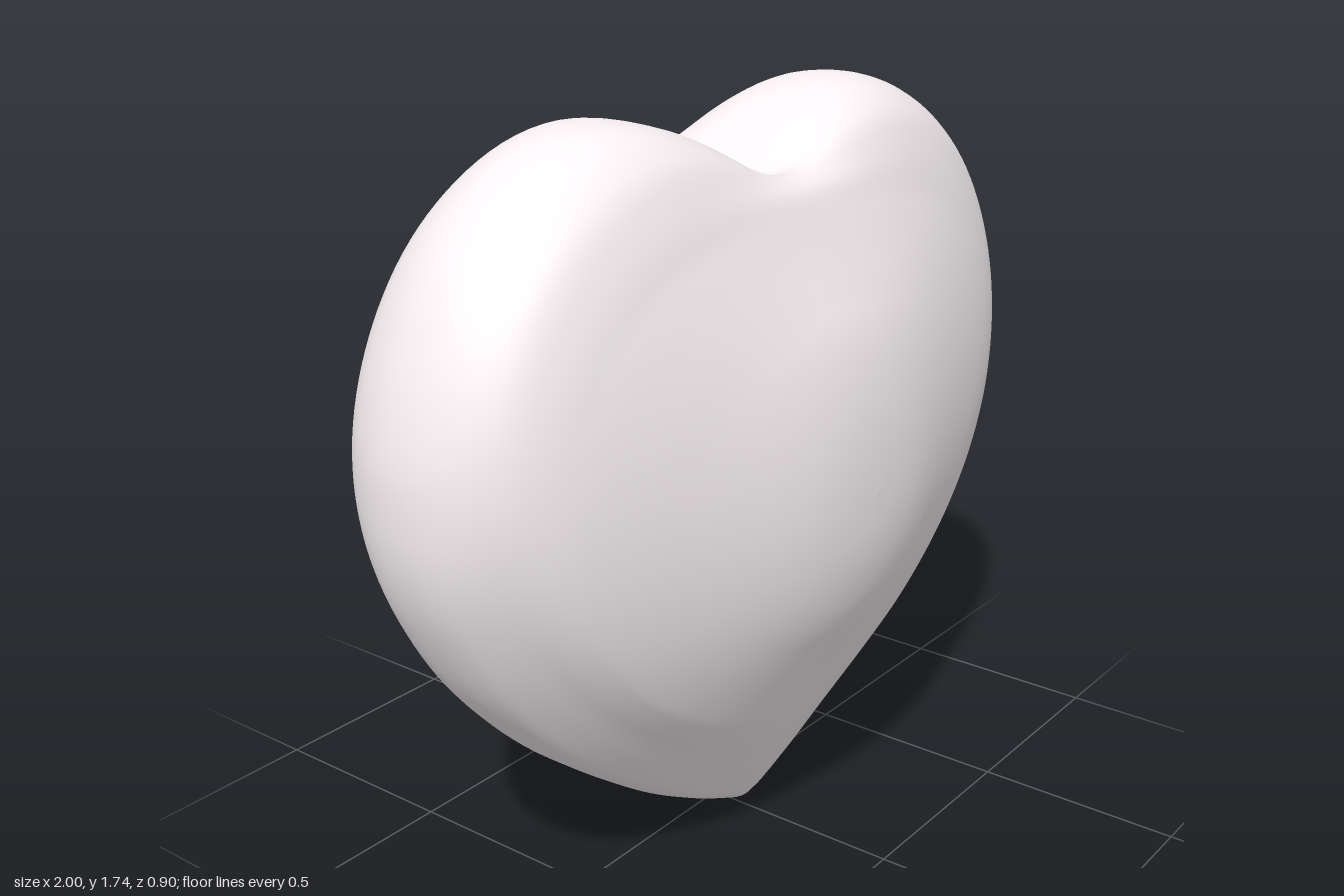
import * as THREE from 'three';

// Right half of the heart outline, from the notch down to the tip
const OUTLINE = [
  [0, 1.55], [0.07, 1.61], [0.16, 1.665], [0.27, 1.712], [0.41, 1.738], [0.56, 1.717],
  [0.72, 1.64], [0.85, 1.52], [0.94, 1.36], [0.99, 1.2], [1, 1.08], [0.985, 0.94],
  [0.93, 0.79], [0.815, 0.6], [0.63, 0.4], [0.37, 0.2], [0.18, 0.085], [0, 0],
];

// Cross-sections from the rim to the crown: depth, half width, roundness, bottom, top
const SECTIONS = [
  [0, 1, 0, 0, 1.738],
  [0.05, 0.996, 0.005, 0.003, 1.735],
  [0.1, 0.982, 0.03, 0.033, 1.725],
  [0.15, 0.957, 0.07, 0.11, 1.702],
  [0.2, 0.917, 0.14, 0.205, 1.66],
  [0.24, 0.867, 0.24, 0.285, 1.59],
  [0.28, 0.79, 0.38, 0.368, 1.51],
  [0.32, 0.67, 0.56, 0.45, 1.43],
  [0.36, 0.52, 0.76, 0.53, 1.352],
  [0.39, 0.405, 0.9, 0.59, 1.29],
  [0.415, 0.305, 0.98, 0.655, 1.215],
  [0.435, 0.205, 1, 0.735, 1.12],
  [0.446, 0.105, 1, 0.82, 1.02],
  [0.45, 0, 1, 0.92, 0.92],
];

const smoothCurve = (points) => new THREE.CatmullRomCurve3(points, false, 'catmullrom', 0.5);

// Closed outline, clockwise as seen from the front
function heartOutline(steps) {
  const half = smoothCurve(OUTLINE.map(([x, y]) => new THREE.Vector3(x, y, 0))).getSpacedPoints(steps);
  const mirrored = half.slice(1, -1).reverse().map((p) => new THREE.Vector3(-p.x, p.y, 0));
  return [...half, ...mirrored];
}

// Soften the notch and tip with a weighted average of neighbouring points
function soften(points, sigma) {
  const n = points.length;
  const reach = Math.ceil(sigma * 2.5);
  return points.map((_, i) => {
    const sum = new THREE.Vector3();
    let total = 0;
    for (let k = -reach; k <= reach; k++) {
      const weight = Math.exp(-0.5 * (k / sigma) ** 2);
      sum.addScaledVector(points[(i + k + n) % n], weight);
      total += weight;
    }
    return sum.divideScalar(total);
  });
}

// Blend the heart towards an ellipse, then fit it to the section's extents
function sectionRing(outline, z, width, roundness, bottom, top) {
  const blend = THREE.MathUtils.clamp(roundness, 0, 1);
  const ring = soften(outline, 0.05 + Math.min(26 * blend, 9)).map((p) => {
    const angle = Math.atan2(p.y - 0.92, p.x);
    const round = new THREE.Vector3(Math.cos(angle), 0.87 + 0.87 * Math.sin(angle), 0);
    return p.lerp(round, blend);
  });
  const box = new THREE.Box3().setFromPoints(ring);
  return ring.map((p) => [
    (p.x / box.max.x) * Math.max(width, 0),
    THREE.MathUtils.mapLinear(p.y, box.min.y, box.max.y, bottom, top),
    z,
  ]);
}

function heartGeometry() {
  const outline = heartOutline(90);
  const n = outline.length;
  // Front crown, over the rim, to the back crown
  const back = SECTIONS.slice(1).map(([z, ...rest]) => [-z, ...rest]);
  const all = [...SECTIONS].reverse().concat(back);
  const shape = smoothCurve(all.map(([z, w, r]) => new THREE.Vector3(z, w, r)));
  const extent = smoothCurve(all.map((s) => new THREE.Vector3(s[3], s[4], 0)));

  const rows = 130;
  const positions = [];
  const indices = [];
  for (let i = 0; i <= rows; i++) {
    const s = shape.getPoint(i / rows);
    const e = extent.getPoint(i / rows);
    positions.push(...sectionRing(outline, s.x, s.y, s.z, e.x, e.y).flat());
    if (i === rows) break;
    for (let j = 0; j < n; j++) {
      const a = i * n + j;
      const b = i * n + ((j + 1) % n);
      indices.push(a, b, a + n, b, b + n, a + n);
    }
  }
  const geometry = new THREE.BufferGeometry();
  geometry.setAttribute('position', new THREE.Float32BufferAttribute(positions, 3));
  geometry.setIndex(indices);
  geometry.computeVertexNormals();
  return geometry;
}

export function createModel() {
  const group = new THREE.Group();
  group.name = 'heartModel';
  const heart = new THREE.Mesh(heartGeometry(), new THREE.MeshStandardMaterial({ color: 0xf8f1f4 }));
  heart.name = 'heart';
  group.add(heart);
  return group;
}
